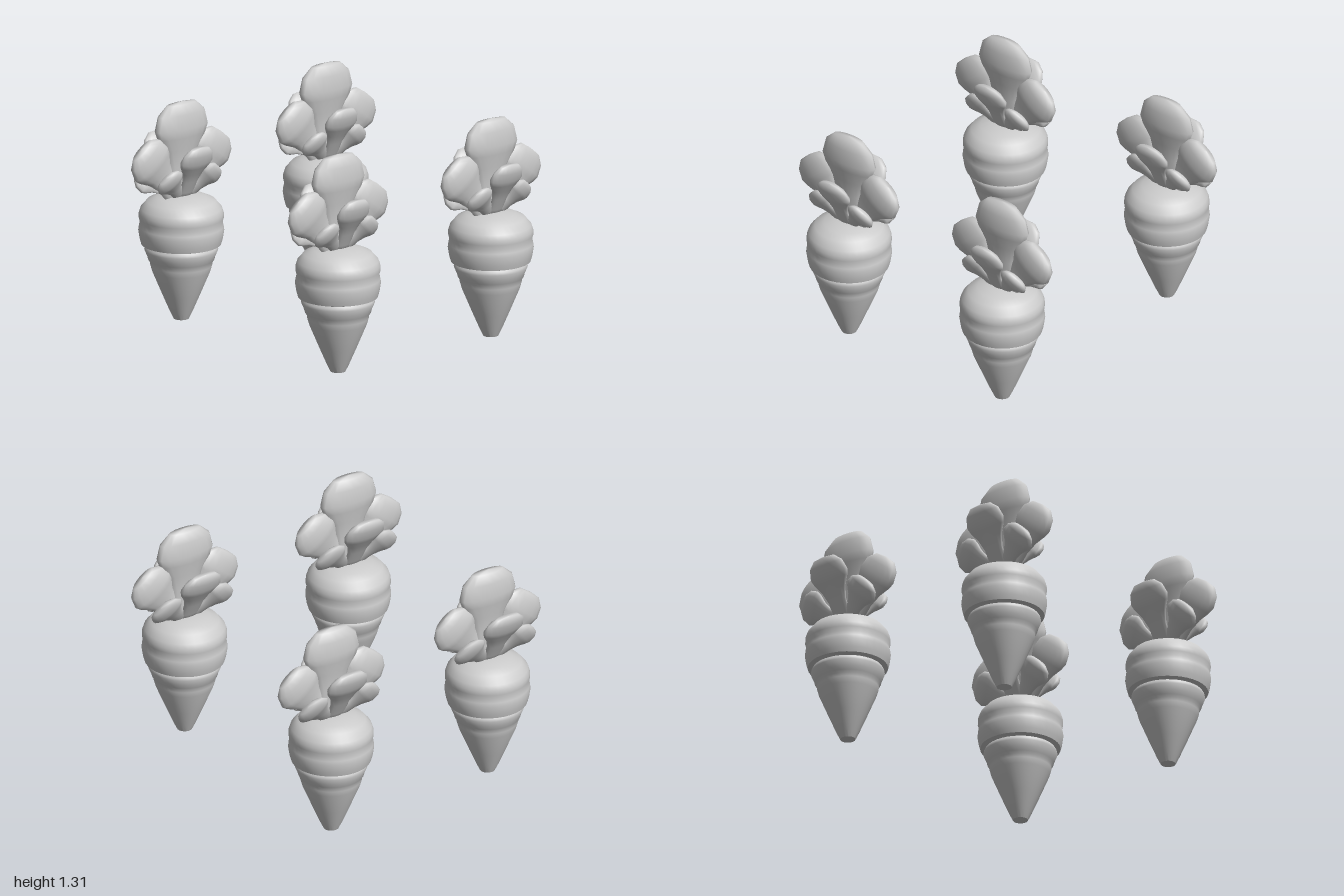
import * as THREE from 'three';
import { toCreasedNormals } from 'three/addons/utils/BufferGeometryUtils.js';

const material = new THREE.MeshStandardMaterial({ color: 0xcccccc });
const lathe = (points, sides) =>
  new THREE.LatheGeometry(points.map(([r, y]) => new THREE.Vector2(r, y)), sides);

// Root: tapered tip, two growth rings and a rounded shoulder
const rootGeometry = toCreasedNormals(lathe([
  [0, 0], [0.044, 0], [0.066, 0.045], [0.11, 0.147], [0.17, 0.29], [0.18, 0.325],
  [0.182, 0.345], [0.193, 0.36], [0.2, 0.385], [0.215, 0.42], [0.212, 0.435], [0.205, 0.447],
  [0.234, 0.456], [0.242, 0.485], [0.25, 0.535], [0.247, 0.56], [0.241, 0.586],
  [0.248, 0.612], [0.247, 0.64], [0.237, 0.67], [0.2, 0.713], [0.145, 0.737],
  [0.085, 0.752], [0, 0.755],
], 36), 0.8);

// Unit leaf: narrow neck swelling to a broad, blunt tip
const leafGeometry = lathe([
  [0, 0], [0.36, 0.025], [0.44, 0.12], [0.47, 0.33], [0.64, 0.5], [0.9, 0.64],
  [1, 0.73], [0.88, 0.88], [0.55, 0.98], [0, 1],
], 16);

// lean swings the leaf towards +z, tilt then swings it towards +x (degrees)
function leaf(name, [x, y, z], lean, tilt, [thick, length, width]) {
  const mesh = new THREE.Mesh(leafGeometry, material);
  mesh.name = name;
  mesh.position.set(x, y, z);
  mesh.rotation.set(
    THREE.MathUtils.degToRad(lean), 0, THREE.MathUtils.degToRad(-tilt), 'ZYX');
  mesh.scale.set(thick, length, width);
  return mesh;
}

function createCarrot() {
  const carrot = new THREE.Group();
  carrot.name = 'carrot';
  const root = new THREE.Mesh(rootGeometry, material);
  root.name = 'root';
  carrot.add(root);

  // Tall middle leaf and the two leaves on its flanks
  carrot.add(
    leaf('centreLeaf', [0, 0.735, 0], 0, 0, [0.065, 0.577, 0.195]),
    leaf('leftLeaf', [0.03, 0.74, 0], 0, 24, [0.04, 0.36, 0.118]),
    leaf('rightLeaf', [-0.03, 0.74, 0], 0, -27, [0.042, 0.4, 0.14]),
  );

  // Front and back leaves with small diagonal leaves beside them
  for (const s of [1, -1]) {
    const end = s > 0 ? 'front' : 'back';
    carrot.add(
      leaf(end + 'Leaf', [0, 0.73, s * 0.03], s * 38, 0, [0.055, 0.44, 0.15]),
      leaf(end + 'LeftSmallLeaf', [0.03, 0.75, s * 0.03], s * 44, 25, [0.034, 0.24, 0.092]),
      leaf(end + 'RightSmallLeaf', [-0.03, 0.75, s * 0.03], s * 50, -28, [0.036, 0.28, 0.108]),
    );
  }
  return carrot;
}

export function createModel() {
  const model = new THREE.Group();
  model.name = 'carrots';
  for (const [x, z] of [[-0.75, -0.575], [0.745, -0.575], [-0.675, 0.58], [0.745, 0.58]]) {
    const carrot = createCarrot();
    carrot.position.set(x, 0, z);
    model.add(carrot);
  }
  return model;
}
